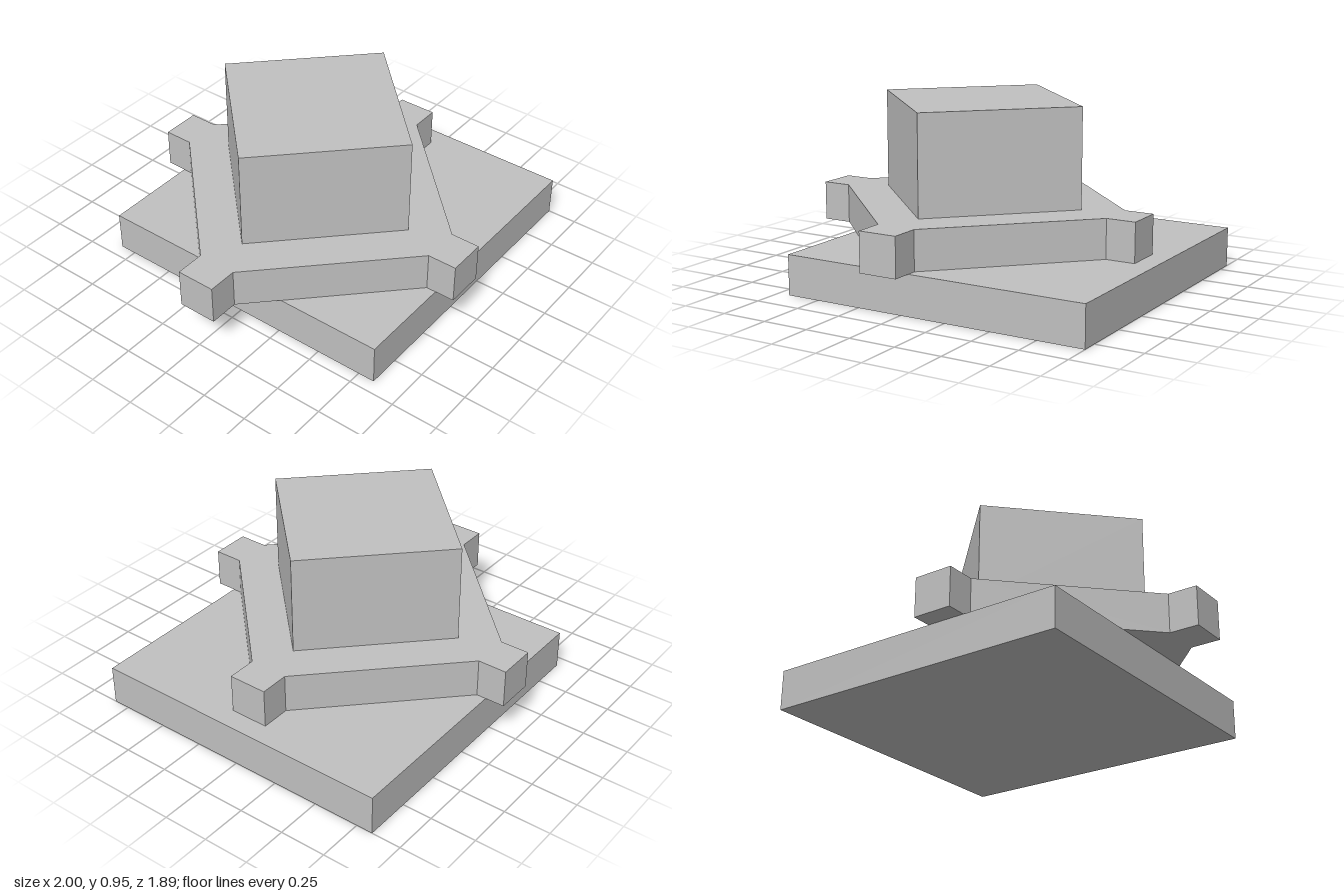
import * as THREE from 'three';

export function createModel() {
  const model = new THREE.Group();
  const grey = new THREE.MeshStandardMaterial({ color: 0xc0c0c0 });
  grey.name = 'plain grey';

  const add = (name, geometry, x, y, z) => {
    const mesh = new THREE.Mesh(geometry, grey);
    mesh.name = name;
    mesh.position.set(x, y, z);
    model.add(mesh);
    return mesh;
  };

  const baseTop = 0.213, collarTop = 0.422, blockTop = 0.95;
  const centreX = -0.055;

  // Square base slab, offset from the upper parts
  add('baseSlab', new THREE.BoxGeometry(1.68, baseTop, 1.68), 0.16, baseTop / 2, 0);

  // Diamond collar with a square lug on each corner
  const half = 0.105, shoulder = 0.788, tip = 0.945;
  const outline = [];
  for (let i = 0; i < 4; i++) {
    const turn = (i * Math.PI) / 2;
    for (const [x, y] of [[shoulder, -half], [tip, -half], [tip, half], [shoulder, half]]) {
      outline.push(new THREE.Vector2(x, y).rotateAround(new THREE.Vector2(), turn));
    }
  }
  const collar = new THREE.ExtrudeGeometry(new THREE.Shape(outline), {
    depth: collarTop - baseTop,
    bevelEnabled: false,
  });
  collar.rotateX(-Math.PI / 2);
  add('cornerLugCollar', collar, centreX, baseTop, 0);

  // Upper block, turned 45 degrees
  const side = 0.595 * Math.SQRT2;
  const height = blockTop - collarTop;
  const block = add('upperBlock', new THREE.BoxGeometry(side, height, side), centreX, collarTop + height / 2, 0);
  block.rotation.y = Math.PI / 4;

  return model;
}
